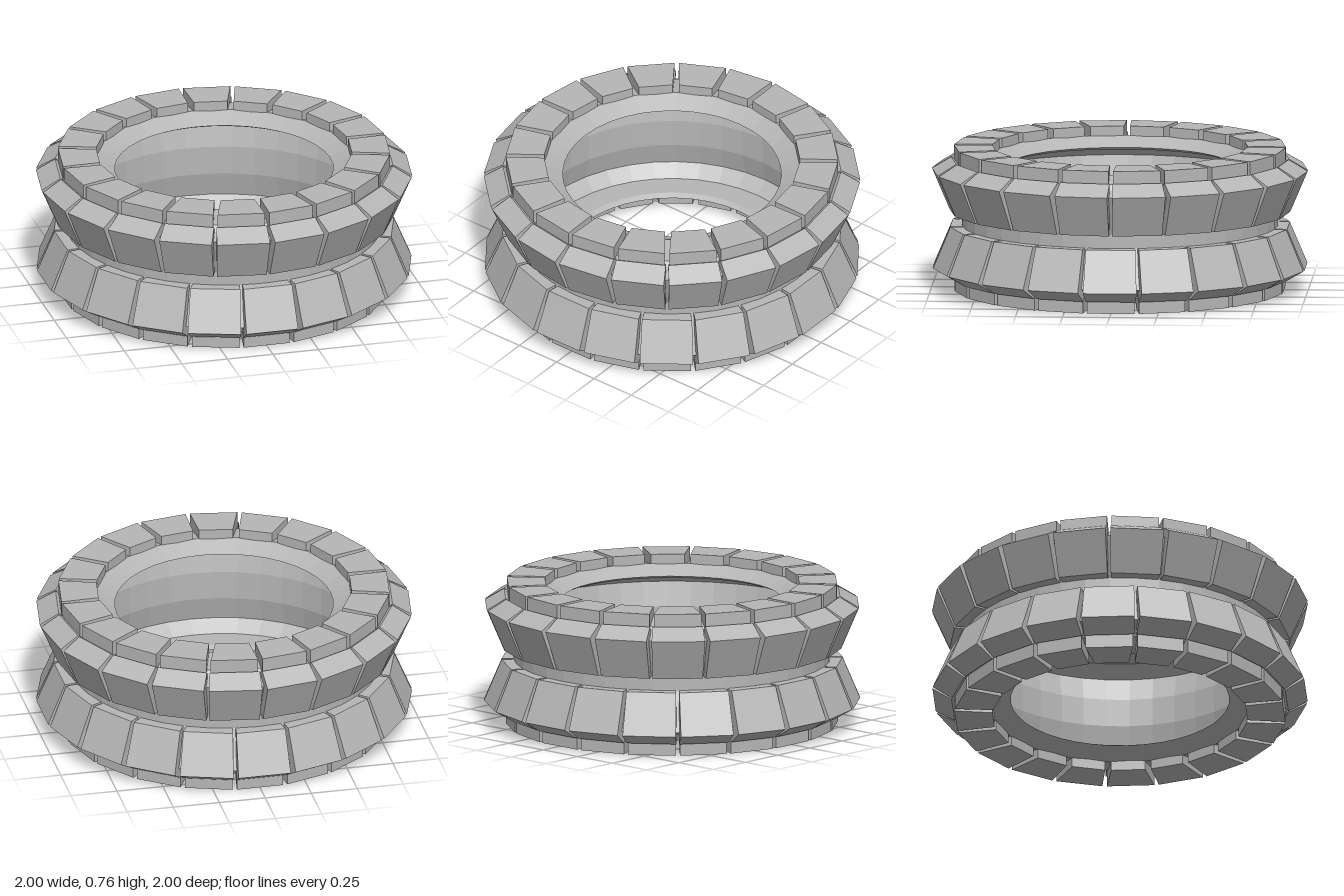
import * as THREE from 'three';
import { ConvexGeometry } from 'three/addons/geometries/ConvexGeometry.js';

const HEIGHT = 0.765;
const COUNT = 20;

// Convex solid symmetric about x = 0, from stations [distance z, height y, half width x]
function wedge(stations) {
  const points = [];
  for (const [z, y, w] of stations) {
    points.push(new THREE.Vector3(-w, y, z), new THREE.Vector3(w, y, z));
  }
  return new ConvexGeometry(points);
}

export function createModel() {
  const rubber = new THREE.MeshStandardMaterial({ color: 0xb6b6b6 });
  rubber.name = 'grey rubber';

  const model = new THREE.Group();
  model.name = 'treadedRing';

  // Hollow carcass: upper half of the outer and inner profile, mirrored about mid-height
  const outerHalf = [[0.84, 0.42], [0.93, 0.63], [0.86, 0.66], [0.84, 0.69], [0.68, 0.715], [0.58, 0.665]];
  const innerHalf = [[0.61, 0.65], [0.74, 0.65], [0.81, 0.59], [0.78, 0.46]];
  const flip = ([r, y]) => [r, HEIGHT - y];
  const loop = [
    ...outerHalf.map(flip).reverse(),
    ...outerHalf,
    ...innerHalf,
    ...innerHalf.map(flip).reverse(),
  ];
  loop.push(loop[0]);
  const carcassGeometry = new THREE.LatheGeometry(
    loop.map(([r, y]) => new THREE.Vector2(r, y)), COUNT * 2
  ).toNonIndexed();
  carcassGeometry.computeVertexNormals();
  const carcass = new THREE.Mesh(carcassGeometry, rubber);
  carcass.name = 'carcass';
  model.add(carcass);

  // Slanted outer lug and flat shoulder block
  const lugGeometry = wedge([
    [0.82, 0.42, 0.122], [0.895, 0.42, 0.133], [0.988, 0.64, 0.142],
    [0.887, 0.7, 0.134], [0.82, 0.66, 0.122],
  ]);
  const blockGeometry = wedge([
    [0.672, 0.705, 0.09], [0.672, HEIGHT, 0.09],
    [0.872, HEIGHT, 0.126], [0.872, 0.675, 0.126],
  ]);

  // One full row of lugs and blocks around the axis
  function treadRow(name, offset) {
    const row = new THREE.Group();
    row.name = name;
    for (let i = 0; i < COUNT; i++) {
      const lug = new THREE.Mesh(lugGeometry, rubber);
      const block = new THREE.Mesh(blockGeometry, rubber);
      lug.name = 'outerLug';
      block.name = 'shoulderBlock';
      lug.rotation.y = block.rotation.y = ((i + offset) / COUNT) * Math.PI * 2;
      row.add(lug, block);
    }
    model.add(row);
    return row;
  }

  treadRow('upperTread', 0.5);

  // The lower row is turned over and staggered by half a pitch
  const lower = treadRow('lowerTread', 0);
  lower.rotation.x = Math.PI;
  lower.position.y = HEIGHT;

  return model;
}
